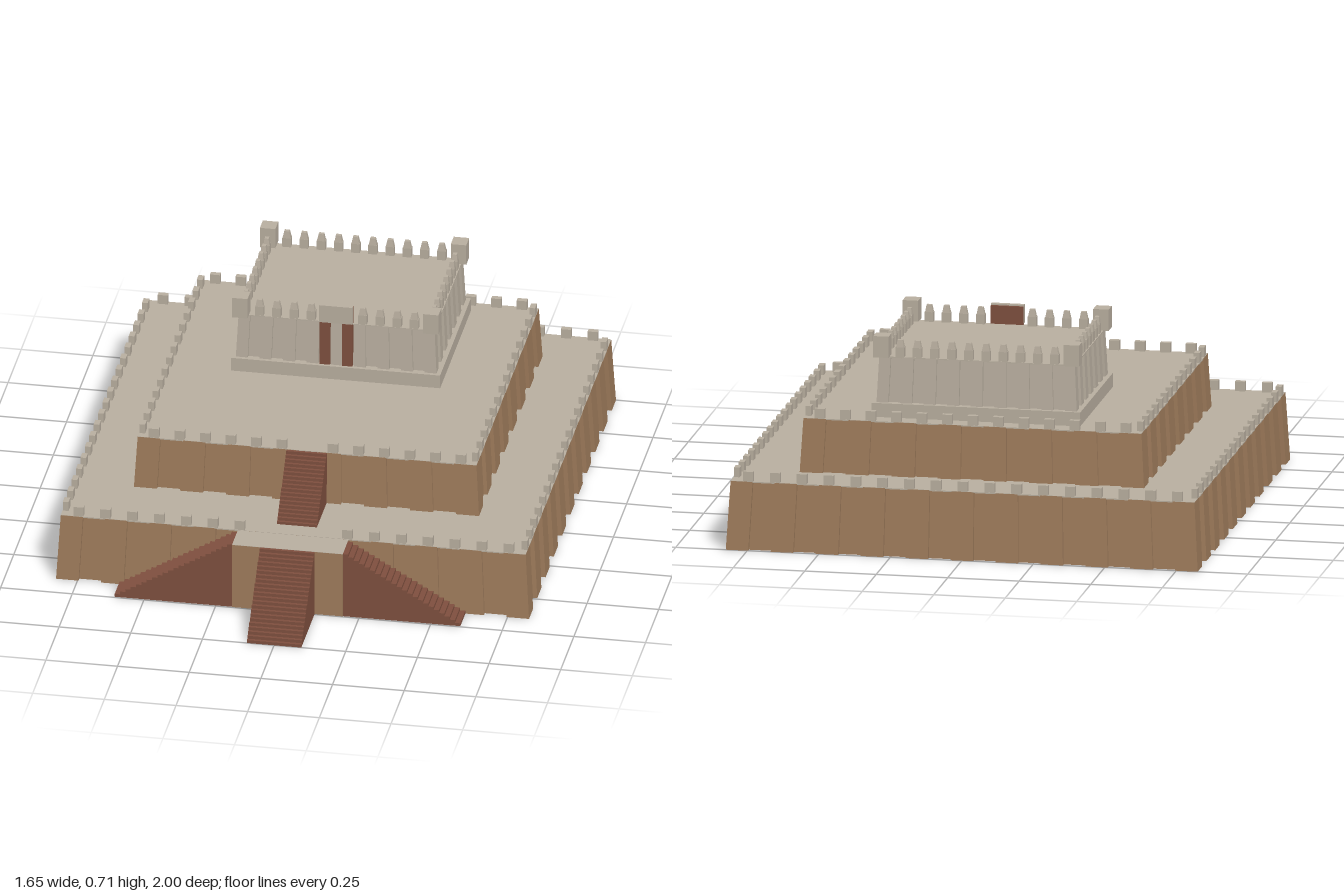
import * as THREE from 'three';

const mat = (name, color) => {
  const m = new THREE.MeshStandardMaterial({ color, side: THREE.DoubleSide });
  m.name = name;
  return m;
};

export function createModel() {
  const root = new THREE.Group();
  root.name = 'steppedTemple';
  const stone = mat('pale stone', 0xb8ae9f);
  const brick = mat('mud brick', 0x9e7b5b);
  const clay = mat('red clay', 0x7e4f3e);

  const add = (name, geo, material, parent = root) => {
    const mesh = new THREE.Mesh(geo, material);
    mesh.name = name;
    parent.add(mesh);
    return mesh;
  };
  const group = (name) => {
    const g = new THREE.Group();
    g.name = name;
    root.add(g);
    return g;
  };
  const box = (name, x0, x1, y0, y1, z0, z1, material, parent) => {
    const geo = new THREE.BoxGeometry(x1 - x0, y1 - y0, z1 - z0);
    geo.translate((x0 + x1) / 2, (y0 + y1) / 2, (z0 + z1) / 2);
    return add(name, geo, material, parent);
  };

  // Flat-faced strip joining two rows of points
  const ribbon = (a, b) => {
    const pos = [];
    for (let i = 0; i < a.length - 1; i++) {
      for (const p of [a[i], a[i + 1], b[i + 1], a[i], b[i + 1], b[i]]) pos.push(...p);
    }
    const geo = new THREE.BufferGeometry();
    geo.setAttribute('position', new THREE.Float32BufferAttribute(pos, 3));
    geo.computeVertexNormals();
    return geo;
  };

  // Plan outline of a wall with alternating buttresses and recesses
  const outline = (x, z0, z1, y, nx, nz, depth) => {
    const corners = [[-x, z1], [x, z1], [x, z0], [-x, z0]];
    const pts = [];
    corners.forEach(([ax, az], s) => {
      const [bx, bz] = corners[(s + 1) % 4];
      const len = Math.hypot(bx - ax, bz - az);
      const ux = (bx - ax) / len, uz = (bz - az) / len;
      const n = s % 2 ? nz : nx;
      for (let i = 0; i < n; i++) {
        const o = i % 2 ? depth : 0;
        for (const t of [i, i + 1]) {
          const d = (t / n) * len;
          pts.push([ax + ux * d + uz * o, y, az + uz * d - ux * o]);
        }
      }
    });
    return pts;
  };

  // Battered, buttressed storey with a flat roof
  const tier = (name, t, wallMaterial) => {
    const g = group(name);
    const low = outline(t.x, t.z0, t.z1, t.y0, t.nx, t.nz, t.depth);
    const high = outline(t.x - t.batter, t.z0 + t.batter, t.z1 - t.batter, t.y1, t.nx, t.nz, t.depth);
    add('buttressedWall', ribbon(low, high), wallMaterial, g);
    const X = t.x - t.batter;
    box('terrace', -X, X, t.y1 - 0.003, t.y1 + 0.001, t.z0 + t.batter, t.z1 - t.batter, stone, g);
    return g;
  };

  // Evenly spaced merlons on all four edges, with a gap over the front stair
  const battlements = (g, x, z0, z1, y, nx, ex, nz, za, zb, gap, make) => {
    for (let i = 0; i < nx; i++) {
      const px = -ex + (2 * ex * i) / (nx - 1);
      make(g, px, y, z0, 0);
      if (Math.abs(px) > gap) make(g, px, y, z1, 0);
    }
    for (let i = 0; i < nz; i++) {
      const pz = za + ((zb - za) * i) / (nz - 1);
      for (const s of [-1, 1]) make(g, s * x, y, pz, Math.PI / 2);
    }
  };
  const blockGeo = new THREE.BoxGeometry(0.035, 0.035, 0.02).translate(0, 0.0175, 0);
  const blockMerlon = (g, x, y, z, turn) => {
    const m = add('merlon', blockGeo, stone, g);
    m.position.set(x, y, z);
    m.rotation.y = turn;
  };
  const bodyGeo = new THREE.BoxGeometry(0.03, 0.035, 0.022).translate(0, 0.0175, 0);
  const tipGeo = new THREE.CylinderGeometry(0.0125, 0.019, 0.025, 4, 1).toNonIndexed();
  tipGeo.rotateY(Math.PI / 4).scale(1, 1, 0.8).translate(0, 0.0475, 0);
  tipGeo.computeVertexNormals();
  const taperedMerlon = (g, x, y, z, turn) => {
    for (const geo of [bodyGeo, tipGeo]) {
      const m = add('taperedMerlon', geo, stone, g);
      m.position.set(x, y, z);
      m.rotation.y = turn;
    }
  };

  // Lower and middle terraces
  const lower = tier('lowerTerrace',
    { x: 0.825, z0: -1, z1: 0.65, y0: 0, y1: 0.24, nx: 21, nz: 21, depth: 0.015, batter: 0.014 }, brick);
  battlements(lower, 0.8, -0.975, 0.624, 0.24, 17, 0.75, 19, -0.915, 0.585, 0.15, blockMerlon);
  const middle = tier('middleTerrace',
    { x: 0.602, z0: -0.82, z1: 0.385, y0: 0.24, y1: 0.43, nx: 15, nz: 15, depth: 0.013, batter: 0.011 }, brick);
  battlements(middle, 0.58, -0.798, 0.363, 0.43, 13, 0.535, 14, -0.76, 0.33, 0.08, blockMerlon);

  // Open-bottomed stair: rises along local -z from z = run to z = 0
  const stair = (name, width, run, y0, y1, steps) => {
    const g = group(name);
    const w = width / 2, h = (y1 - y0) / steps, d = run / steps;
    const profile = [[run, y0]];
    for (let i = 0; i < steps; i++) {
      profile.push([run - i * d, y0 + (i + 1) * h], [run - (i + 1) * d, y0 + (i + 1) * h]);
    }
    add('steps', ribbon(profile.map(([z, y]) => [w, y, z]), profile.map(([z, y]) => [-w, y, z])).scale(1, 1, 1), clay, g);
    const shape = new THREE.Shape([...profile, [0, y0]].map(([z, y]) => new THREE.Vector2(z, y)));
    for (const s of [-1, 1]) {
      const side = add('stairSide', new THREE.ShapeGeometry(shape).rotateY(-Math.PI / 2), clay, g);
      side.position.x = s * w;
    }
    // Outward-facing treads need the strip order reversed
    const steps0 = g.children[0];
    steps0.geometry = ribbon(profile.map(([z, y]) => [-w, y, z]), profile.map(([z, y]) => [w, y, z]));
    steps0.geometry = flip(steps0.geometry);
    return g;
  };
  const flip = (geo) => {
    const p = geo.attributes.position;
    const v = new THREE.Vector3(), u = new THREE.Vector3();
    for (let i = 0; i < p.count; i += 3) {
      v.fromBufferAttribute(p, i + 1);
      u.fromBufferAttribute(p, i + 2);
      p.setXYZ(i + 1, u.x, u.y, u.z);
      p.setXYZ(i + 2, v.x, v.y, v.z);
    }
    geo.computeVertexNormals();
    // Keep the side that looks up and forward
    if (geo.attributes.normal.getZ(0) < 0) return flip(geo);
    return geo;
  };
  stair('frontStair', 0.19, 0.253, 0, 0.24, 22).position.z = 0.747;
  stair('upperStair', 0.14, 0.19, 0.24, 0.431, 18).position.z = 0.378;
  for (const s of [-1, 1]) {
    const side = stair(s > 0 ? 'leftStair' : 'rightStair', 0.095, 0.41, 0, 0.24, 22);
    side.rotation.y = (s * Math.PI) / 2;
    side.position.set(s * 0.193, 0, 0.6975);
  }

  // Landing where the three lower stairs meet
  const landing = group('landing');
  const plan = [[-0.193, 0.645], [-0.193, 0.747], [0.193, 0.747], [0.193, 0.645]];
  add('landingWall', ribbon(plan.map(([x, z]) => [x, 0, z]), plan.map(([x, z]) => [x, 0.24, z])), brick, landing);
  box('landingFloor', -0.193, 0.193, 0.237, 0.241, 0.638, 0.747, stone, landing);

  // Shrine on its plinth
  box('plinth', -0.365, 0.365, 0.43, 0.48, -0.748, -0.165, stone);
  const shrine = tier('shrine',
    { x: 0.35, z0: -0.735, z1: -0.178, y0: 0.48, y1: 0.64, nx: 17, nz: 13, depth: 0.012, batter: 0.008 }, stone);
  battlements(shrine, 0.328, -0.715, -0.198, 0.64, 10, 0.27, 8, -0.65, -0.257, 0.06, taperedMerlon);
  for (const x of [-0.333, 0.333]) {
    for (const z of [-0.716, -0.188]) {
      box('cornerTurret', x - 0.027, x + 0.027, 0.64, 0.715, z - 0.028, z + 0.028, stone, shrine);
    }
  }

  // Doorway split by the central buttress, with a lintel above
  box('door', -0.057, 0.057, 0.48, 0.705, -0.194, -0.186, clay, shrine);
  for (const s of [-1, 1]) {
    const x = s * 0.039;
    box('doorPanel', x - 0.018, x + 0.018, 0.48, 0.645, -0.184, -0.176, clay, shrine);
  }
  box('lintel', -0.058, 0.058, 0.645, 0.71, -0.186, -0.17, stone, shrine);
  return root;
}
